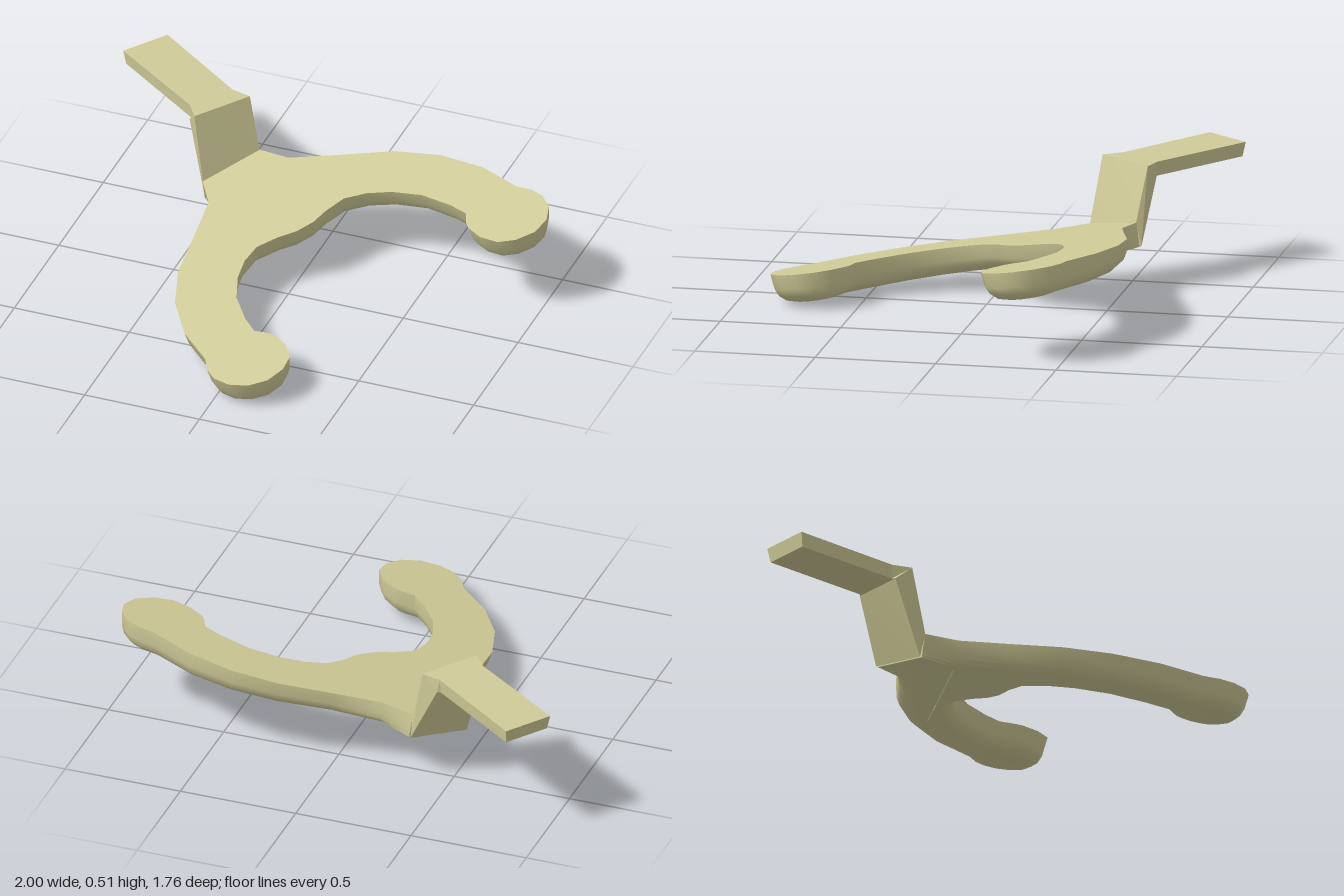
import * as THREE from 'three';
import { toCreasedNormals } from 'three/addons/utils/BufferGeometryUtils.js';

// Local frame: u runs along the fork from handle to tips, w across it.
const C = 0.815, S = 0.579, MID = 0.113, ROLL = 0.194, DECK = 0.264;
const place = (u, w, y) => [C * u + S * (w + MID), y, S * u - C * (w + MID)];
// A point at a given depth below the rolled top plane of the fork
const onFork = (u, w, depth) => place(u, w + 0.19 * depth, DECK + ROLL * w - 0.98 * depth);

function buildGeometry(points, faces) {
  const g = new THREE.BufferGeometry();
  g.setAttribute('position', new THREE.Float32BufferAttribute(points.flat(), 3));
  g.setIndex(faces.flat());
  return g;
}

// Half outline of the fork: hub, outer edge of arm, round pad, inner edge
const HALF = [
  [-0.595, 0.138], [-0.464, 0.195], [-0.33, 0.352], [-0.186, 0.527], [-0.026, 0.648],
  [0.163, 0.727], [0.362, 0.757], [0.425, 0.79], [0.492, 0.8], [0.567, 0.78],
  [0.63, 0.727], [0.66, 0.65], [0.646, 0.566], [0.603, 0.505], [0.526, 0.473],
  [0.443, 0.47], [0.405, 0.484], [0.357, 0.515], [0.265, 0.498], [0.128, 0.45],
  [0.022, 0.374], [-0.045, 0.296], [-0.083, 0.213], [-0.072, 0.118], [-0.049, 0.042],
];

function forkGeometry() {
  const outline = [...HALF, ...HALF.map(([u, w]) => [u, -w]).reverse()].reverse()
    .map(([u, w]) => new THREE.Vector2(u, w));
  const n = outline.length;
  // Inward mitre direction at every corner
  const inward = outline.map((p, i) => {
    const a = p.clone().sub(outline[(i + n - 1) % n]).normalize();
    const b = outline[(i + 1) % n].clone().sub(p).normalize();
    const m = new THREE.Vector2(-a.y - b.y, a.x + b.x).normalize();
    return m.multiplyScalar(1 / Math.max(0.7, -m.x * a.y + m.y * a.x));
  });
  // Rings going down: [share of thickness, inset], rounding the lower edge
  const rings = [[0, 0], [0.5, 0.01], [0.75, 0.024], [0.92, 0.05], [1, 0.09]];
  const points = [], faces = [];
  let flat;
  rings.forEach(([share, inset], r) => {
    flat = outline.map((p, i) => {
      const soft = THREE.MathUtils.smoothstep(p.x, -0.6, -0.3);
      return p.clone().addScaledVector(inward[i], inset * soft);
    });
    flat.forEach((q, i) => {
      const thick = 0.1 + 0.024 * THREE.MathUtils.smoothstep(outline[i].x, -0.6, 0.4);
      points.push(onFork(q.x, q.y, share * thick));
      if (r === 0) return;
      const j = (i + 1) % n, a = (r - 1) * n, b = r * n;
      faces.push([a + i, b + i, b + j], [a + i, b + j, a + j]);
    });
  });
  // Flat top and underside
  THREE.ShapeUtils.triangulateShape(outline, []).forEach((f) => faces.push([...f]));
  const last = (rings.length - 1) * n;
  THREE.ShapeUtils.triangulateShape(flat, [])
    .forEach(([a, b, c]) => faces.push([last + c, last + b, last + a]));
  return toCreasedNormals(buildGeometry(points, faces), 0.7);
}

// Four-cornered sections joined into a closed bar
function barGeometry(sections) {
  const points = sections.flat(), faces = [[0, 1, 2], [0, 2, 3]];
  for (let s = 0; s < sections.length - 1; s++) {
    for (let k = 0; k < 4; k++) {
      const a = s * 4 + k, b = s * 4 + (k + 1) % 4;
      faces.push([a, a + 4, b + 4], [a, b + 4, b]);
    }
  }
  const e = points.length - 4;
  faces.push([e + 2, e + 1, e], [e + 3, e + 2, e]);
  return toCreasedNormals(buildGeometry(points, faces), 0.2);
}

// Level section: top and bottom edges at their own u and half width
const level = (uTop, wTop, uBot, wBot) => [
  place(uTop, -wTop, 0.515), place(uTop, wTop, 0.515),
  place(uBot, wBot, 0.455), place(uBot, -wBot, 0.455),
];

export function createModel() {
  const group = new THREE.Group();
  const material = new THREE.MeshStandardMaterial({ color: 0xd0cb98 });
  const add = (name, geometry) => {
    const mesh = new THREE.Mesh(geometry, material);
    mesh.name = name;
    group.add(mesh);
  };

  add('fork', forkGeometry());

  // Level handle bar, flaring slightly where it meets the riser
  const bend = level(-0.66, 0.135, -0.73, 0.112);
  add('handle', barGeometry([
    level(-1.226, 0.108, -1.215, 0.1),
    level(-0.74, 0.104, -0.74, 0.1),
    bend,
  ]));

  // Slanted riser, twisting from the level handle to the rolled hub
  add('riser', barGeometry([
    bend,
    [onFork(-0.593, -0.138, 0), onFork(-0.593, 0.138, 0),
      onFork(-0.605, 0.138, 0.1), onFork(-0.605, -0.138, 0.1)],
  ]));
  return group;
}
